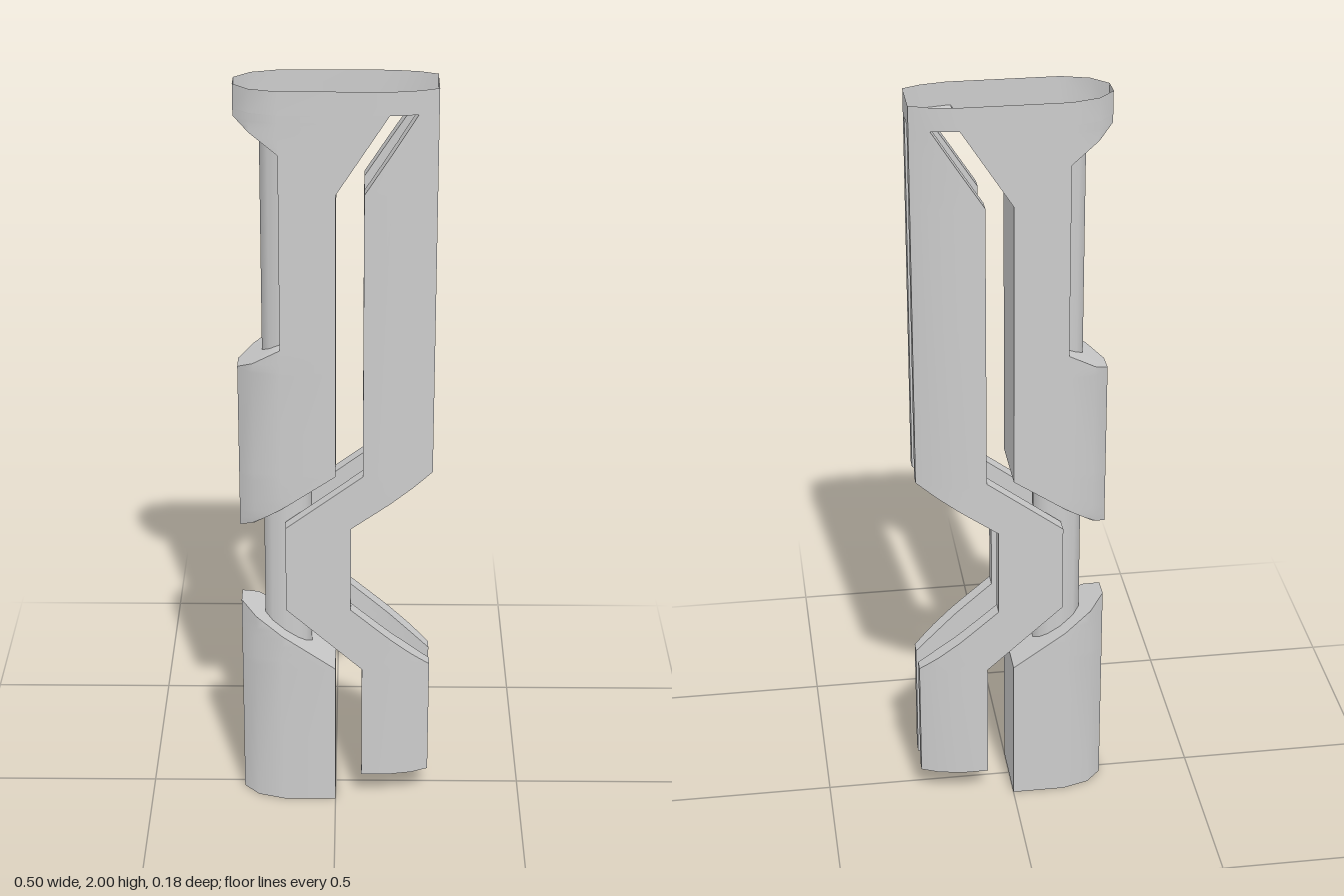
import * as THREE from 'three';
import { mergeVertices, mergeGeometries } from 'three/addons/utils/BufferGeometryUtils.js';

const material = new THREE.MeshStandardMaterial({ color: 0xcccccc, side: THREE.DoubleSide });

// Piecewise-linear function through [x, value] points
const curve = (pts) => (x) => {
  if (x <= pts[0][0]) return pts[0][1];
  for (let i = 1; i < pts.length; i++) {
    const [x0, v0] = pts[i - 1], [x1, v1] = pts[i];
    if (x <= x1) return v0 + (v1 - v0) * (x - x0) / (x1 - x0);
  }
  return pts[pts.length - 1][1];
};

// Half depth of the casing, and inner face of the hollow rails
const breaks = [-0.25, -0.21, -0.14, 0.07, 0.14, 0.205, 0.25];
const outer = curve([[-0.25, 0.027], [-0.21, 0.07], [-0.14, 0.092], [0.14, 0.092], [0.205, 0.08], [0.25, 0.06]]);
const inner = curve([[0.07, 0.052], [0.14, 0.05], [0.205, 0.037], [0.25, 0.027]]);

// Smooth surface through rows of points
function grid(rows) {
  const n = rows[0].length, index = [];
  for (let r = 0; r < rows.length - 1; r++)
    for (let c = 0; c < n - 1; c++) {
      const a = r * n + c, b = a + n;
      index.push(a, b, a + 1, a + 1, b, b + 1);
    }
  let g = new THREE.BufferGeometry();
  g.setAttribute('position', new THREE.Float32BufferAttribute(rows.flat(2), 3));
  g.setIndex(index);
  g = mergeVertices(g, 1e-5);
  g.computeVertexNormals();
  return g;
}

// Shell between two depth rules; stations are [y, xLow, xHigh] from the top down.
// openLow / openHigh list the segments whose narrow end wall is left out.
function shell(stations, zA, zB, openLow = [], openHigh = []) {
  const parts = [], rowsA = [], rowsB = [];
  for (let s = 0; s < stations.length - 1; s++) {
    const p = stations[s], q = stations[s + 1];
    const steps = p[1] === q[1] && p[2] === q[2] ? 1 : 8;
    const low = [], high = [];
    for (let i = 0; i <= steps; i++) {
      const [y, x0, x1] = p.map((v, k) => v + (q[k] - v) * i / steps);
      const xs = breaks.map((b) => Math.min(x1, Math.max(x0, b)));
      rowsA.push(xs.map((x) => [x, y, zA(x)]));
      rowsB.push(xs.map((x) => [x, y, zB(x)]));
      low.push([[x0, y, zA(x0)], [x0, y, zB(x0)]]);
      high.push([[x1, y, zA(x1)], [x1, y, zB(x1)]]);
    }
    if (!openLow.includes(s)) parts.push(grid(low));
    if (!openHigh.includes(s)) parts.push(grid(high));
  }
  parts.push(grid(rowsA), grid(rowsB));
  return mergeGeometries(parts);
}

// Plan outline of the tube side of the casing, and the matching tube outline
const xs = [-0.25, -0.21, -0.14, -0.07, 0];
const plan = [
  ...xs.map((x) => [x, outer(x)]), [0, 0.03], [0, -0.03],
  ...xs.slice().reverse().map((x) => [x, -outer(x)]), [-0.25, outer(-0.25)],
];
const hole = plan.map(([x, z]) => {
  const a = Math.atan2(z / 0.047, (x + 0.125) / 0.065);
  return [-0.125 + 0.065 * Math.cos(a), 0.047 * Math.sin(a)];
});
const lift = (loop, f) => loop.map(([x, z]) => [x, f(x), z]);
const collar = (f) => grid([lift(plan, f), lift(hole, f)]);

export function createModel() {
  const group = new THREE.Group();
  const add = (name, geometry) => {
    const mesh = new THREE.Mesh(geometry, material);
    mesh.name = name;
    group.add(mesh);
  };
  const back = (x) => -outer(x);

  // Open rim and upper casing with its side notch
  add('topRim', shell([[2, -0.25, 0.25], [1.94, -0.25, 0.25]], outer, back));
  add('upperCasing', shell([
    [1.94, -0.25, 0.2], [1.94, -0.25, 0.13], [1.92, -0.25, 0.117], [1.84, -0.14, 0.065],
    [1.74, -0.14, 0], [1.33, -0.14, 0], [1.26, -0.25, 0], [0.98, -0.25, 0], [0.81, -0.25, -0.25],
  ], outer, back, [2, 3, 4, 5], [7]));

  // Notch walls beside the tube
  for (const s of [1, -1])
    add('notchWall', grid([1.84, 1.33].map((y) => [[-0.14, y, s * 0.046], [-0.14, y, s * 0.092]])));

  // Bridge over the slot between the rails
  add('slotBridge', grid([0.2, 0.25].map((x) => [[x, 1.94, inner(x)], [x, 1.94, -inner(x)]])));

  // Lower casing, open underneath
  add('lowerCasing', shell([[0.585, -0.25, -0.25], [0.41, -0.25, 0], [0, -0.25, 0]], outer, back, [], [0]));

  // Sloping faces pierced by the tube
  const floor = curve([[-0.25, 1.92], [-0.14, 1.84], [0, 1.74]]);
  const lowerTop = curve([[-0.25, 0.585], [0, 0.41]]);
  add('funnelFloor', collar(floor));
  add('notchLedge', collar(curve([[-0.25, 1.26], [-0.14, 1.33]])));
  add('upperCasingEnd', collar(curve([[-0.25, 0.81], [0, 0.98]])));
  add('lowerCasingTop', collar(lowerTop));
  add('innerTube', grid([lift(hole, floor), lift(hole, lowerTop)]));

  // Front and back zigzag rails
  const path = [
    [1.94, 0.2, 0.25], [1.74, 0.07, 0.25], [0.98, 0.07, 0.25], [0.83, -0.13, 0.04],
    [0.59, -0.13, 0.04], [0.41, 0.07, 0.25], [0.08, 0.07, 0.25],
  ];
  const foot = [0.07, 0.14, 0.205, 0.25];
  for (const [name, s] of [['front', 1], ['back', -1]]) {
    add(name + 'Rail', shell(path, (x) => s * outer(x), (x) => s * inner(x)));
    add(name + 'RailFoot', grid([outer, inner].map((f) => foot.map((x) => [x, 0.08, s * f(x)]))));
  }
  return group;
}
